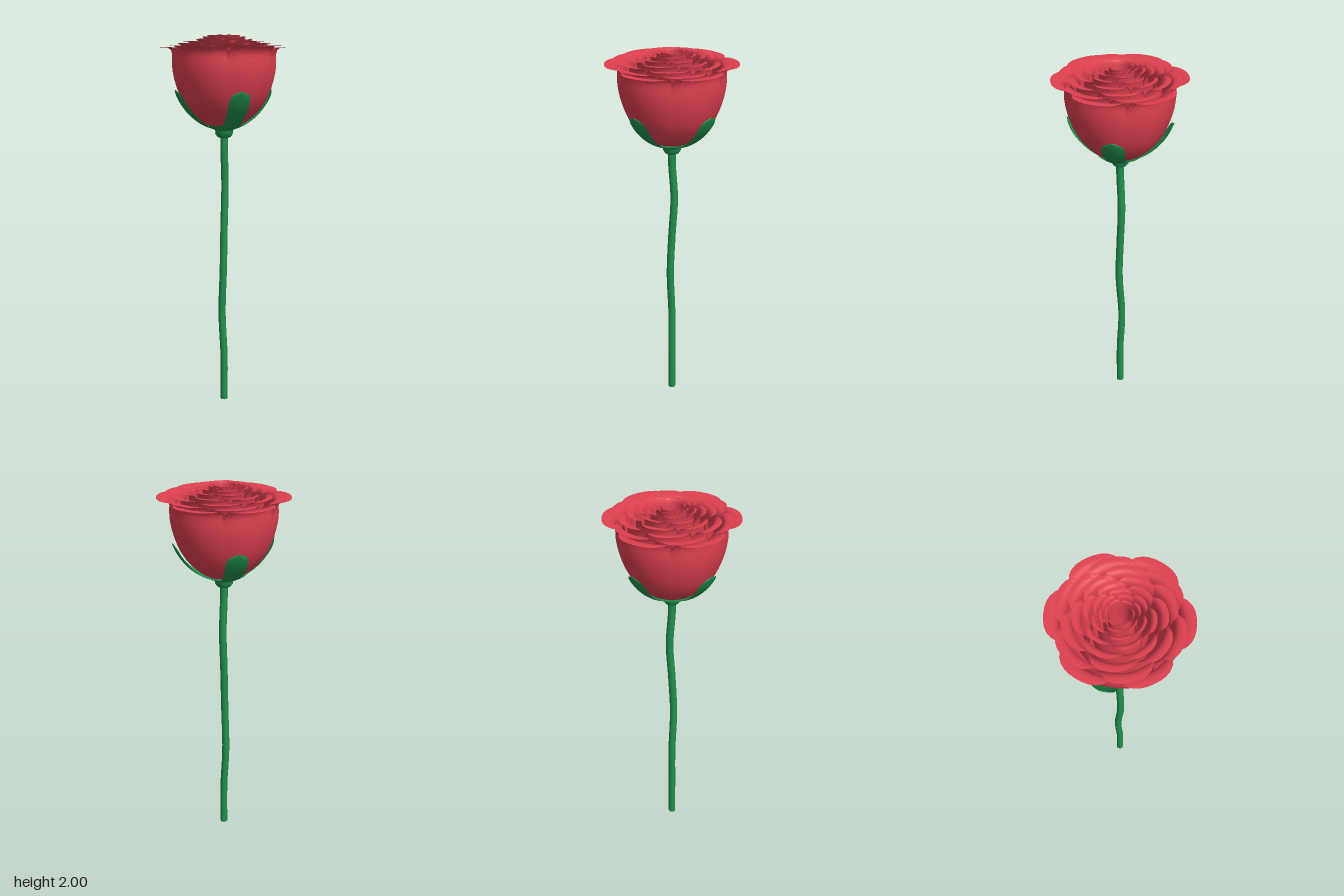
import * as THREE from 'three';

const red = new THREE.MeshStandardMaterial({ color: 0xdf4050, side: THREE.DoubleSide });
const green = new THREE.MeshStandardMaterial({ color: 0x22904e, side: THREE.DoubleSide });
const BASE = 1.53, LIP = 1.938;

// Cup profile (radius, height): belly, upright wall, then a lip rolled outward
const profile = new THREE.SplineCurve([
  [0, BASE], [0.08, 1.537], [0.16, 1.59], [0.22, 1.67], [0.257, 1.77],
  [0.27, 1.85], [0.268, 1.905], [0.283, 1.934], [0.332, LIP],
].map(([r, y]) => new THREE.Vector2(r, y)));

// Smooth sheet from a point rule, u in -1..1 across and v in 0..1 upward
function sheet(nu, nv, rule) {
  const pos = [], index = [];
  for (let j = 0; j <= nv; j++)
    for (let i = 0; i <= nu; i++) pos.push(...rule((2 * i) / nu - 1, j / nv));
  for (let j = 0; j < nv; j++)
    for (let i = 0; i < nu; i++) {
      const a = j * (nu + 1) + i, b = a + nu + 1;
      index.push(a, b, a + 1, a + 1, b, b + 1);
    }
  const g = new THREE.BufferGeometry();
  g.setAttribute('position', new THREE.Float32BufferAttribute(pos, 3));
  g.setIndex(index);
  g.computeVertexNormals();
  return g;
}

const polar = (r, y, a) => [r * Math.cos(a), y, -r * Math.sin(a)];

// Petal: a sector of the cup whose lip fades out towards rounded corners
function petalGeometry(scale, top, tilt) {
  const stretch = (top - BASE) / (LIP - BASE);
  return sheet(12, 18, (u, v) => {
    const t = (1 - (1 - v) ** 1.5) * (1 - 0.13 * Math.abs(u) ** 3.5);
    const p = profile.getPointAt(t);
    const r = p.x * scale * (1 - 0.025 * u * u + tilt * u);
    return polar(r, BASE + (p.y - BASE) * stretch, -u * 0.555);
  });
}

// Sepal: a round-tipped strip lying just outside the cup
function sepalGeometry() {
  return sheet(8, 16, (u, v) => {
    const p = profile.getPointAt(0.08 + 0.49 * v);
    const tip = v > 0.78 ? Math.sqrt(Math.max(0, 1 - ((v - 0.78) / 0.22) ** 2)) : 1;
    const w = (0.042 + 0.016 * v) * tip * u;
    const r = p.x + 0.008 + 0.014 * v - 0.006 * u * u;
    return polar(r, p.y - 0.008, -w / Math.max(p.x, 0.05));
  });
}

export function createModel() {
  const model = new THREE.Group();
  const add = (parent, name, geometry, material) => {
    const mesh = new THREE.Mesh(geometry, material);
    mesh.name = name;
    parent.add(mesh);
    return mesh;
  };

  // Flower: nested rings of six petals, rising towards the centre
  const flower = new THREE.Group();
  flower.name = 'flower';
  model.add(flower);
  [1, 0.905, 0.77, 0.63, 0.49, 0.37, 0.27, 0.19].forEach((scale, ring) => {
    const top = LIP + (2 - LIP) * Math.min(1, (1 - scale) / 0.75);
    const geometry = petalGeometry(scale, top, ring ? 0.035 : 0.008);
    const group = new THREE.Group();
    group.name = 'petalRing' + (ring + 1);
    flower.add(group);
    for (let k = 0; k < 6; k++)
      add(group, 'petal', geometry, red).rotation.y =
        Math.PI / 6 + (k * Math.PI) / 3 - ring * 0.3;
  });

  // Calyx: swollen stem end with four diagonal sepals
  const calyx = [[0.018, 1.47], [0.036, 1.478], [0.047, 1.495], [0.046, 1.508],
    [0.053, 1.517], [0.08, 1.526], [0.115, 1.544]];
  add(model, 'calyx', new THREE.LatheGeometry(
    calyx.map(([r, y]) => new THREE.Vector2(r, y)), 24), green);
  const sepal = sepalGeometry();
  for (let k = 0; k < 4; k++)
    add(model, 'sepal', sepal, green).rotation.y = Math.PI / 4 + (k * Math.PI) / 2;

  // Stem: gently bent tube with a flat cut end
  const path = new THREE.CatmullRomCurve3([
    [0, 0, 0], [0, 0.25, 0], [-0.012, 0.5, 0], [0, 0.77, 0.009],
    [0, 1, 0], [0, 1.22, -0.012], [0, 1.42, 0], [0, 1.5, 0],
  ].map((p) => new THREE.Vector3(...p)));
  add(model, 'stem', new THREE.TubeGeometry(path, 40, 0.02, 12), green);
  add(model, 'stemEnd', new THREE.CircleGeometry(0.02, 12), green).rotation.x = Math.PI / 2;

  return model;
}
